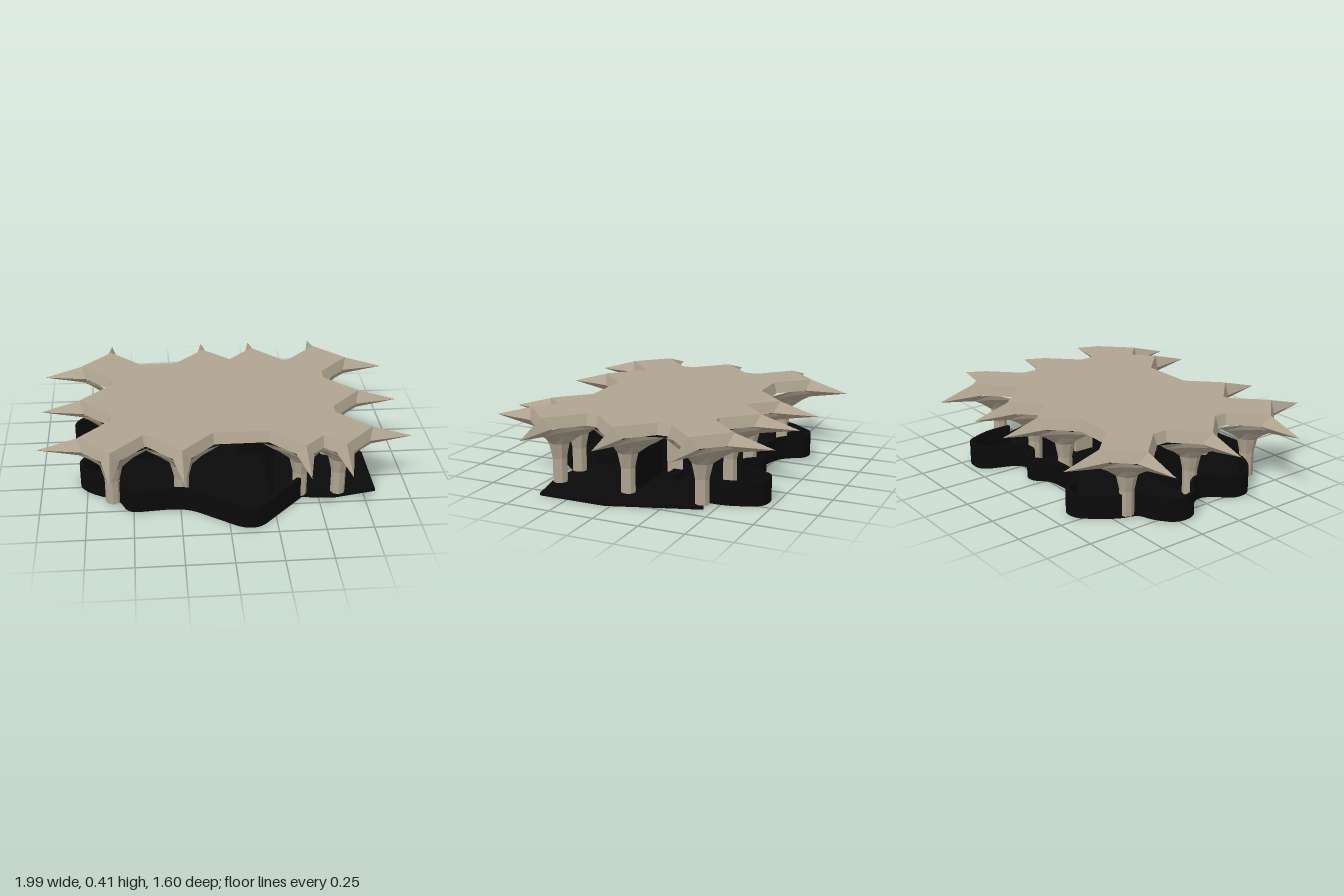
import * as THREE from 'three';

const stone = new THREE.MeshStandardMaterial({ color: 0xb0a490, flatShading: true });
const dark = new THREE.MeshStandardMaterial({ color: 0x0a0a0a, flatShading: true });

// Skin a list of closed rings of [x, y, z] points
function loft(rings) {
  const n = rings[0].length, pos = rings.flat(2), index = [];
  for (let r = 0; r < rings.length - 1; r++) {
    for (let i = 0; i < n; i++) {
      const a = r * n + i, b = r * n + (i + 1) % n;
      index.push(a, a + n, b, b, a + n, b + n);
    }
  }
  const g = new THREE.BufferGeometry();
  g.setAttribute('position', new THREE.Float32BufferAttribute(pos, 3));
  g.setIndex(index);
  g.computeVertexNormals();
  return g;
}

function add(parent, name, geometry, material) {
  const mesh = new THREE.Mesh(geometry, material);
  mesh.name = name;
  parent.add(mesh);
  return mesh;
}

const toShape = (pts, s = 1) => new THREE.Shape(pts.map(([x, z]) => new THREE.Vector2(x, z * s)));

// Flat plan outline (x, z) raised between two heights
function slab(pts, y0, y1) {
  return new THREE.ExtrudeGeometry(toShape(pts), { depth: y1 - y0, bevelEnabled: false })
    .rotateX(Math.PI / 2).translate(0, y1, 0);
}

// Move a plan outline sideways by d (positive is outwards)
function offset(pts, d, closed) {
  const n = pts.length;
  const normal = (a, b) => {
    const dx = b[0] - a[0], dz = b[1] - a[1], l = Math.hypot(dx, dz) || 1;
    return [-dz / l, dx / l];
  };
  return pts.map((p, i) => {
    const prev = pts[(i + n - 1) % n], next = pts[(i + 1) % n];
    let n1 = normal(prev, p), n2 = normal(p, next);
    if (!closed && i === 0) n1 = n2;
    if (!closed && i === n - 1) n2 = n1;
    const k = d / Math.max(0.5, 1 + n1[0] * n2[0] + n1[1] * n2[1]);
    return [p[0] + k * (n1[0] + n2[0]), p[1] + k * (n1[1] + n2[1])];
  });
}

// Round the corners of an open path
function rounded(pts) {
  const out = [pts[0]];
  for (let i = 1; i < pts.length - 1; i++) {
    const [a, p, b] = [pts[i - 1], pts[i], pts[i + 1]].map(v => new THREE.Vector2(...v));
    const toward = q => p.clone().lerp(q, Math.min(0.48, 0.06 / p.distanceTo(q)));
    const bend = new THREE.QuadraticBezierCurve(toward(a), p, toward(b));
    bend.getPoints(5).forEach(v => out.push([v.x, v.y]));
  }
  out.push(pts[pts.length - 1]);
  return out;
}

// Eight-sided column flaring into a diamond-shaped capital
function columnGeometry() {
  const profile = [ // axis radius, diagonal radius, axis height, diagonal height
    [0.04, 0.04, 0.012, 0.012], [0.04, 0.04, 0.15, 0.15], [0.06, 0.058, 0.235, 0.235],
    [0.12, 0.095, 0.28, 0.29], [0.165, 0.12, 0.305, 0.32], [0.21, 0.135, 0.335, 0.355],
  ];
  return loft(profile.map(([ra, rd, ya, yd]) => Array.from({ length: 8 }, (_, i) => {
    const t = i * Math.PI / 4, r = i % 2 ? rd : ra;
    return [r * Math.cos(t), i % 2 ? yd : ya, r * Math.sin(t)];
  })));
}

// Four-sided spike pointing along +x
function spikeGeometry() {
  const base = [[0.14, 0.35, 0.05], [0.168, 0.409, 0], [0.14, 0.35, -0.05], [0.16, 0.304, 0]];
  return loft([base, base.map(() => [0.387, 0.345, 0])]);
}

// Upright wall with pointed openings given as [start, end, sill]
function wallGeometry(from, to, openings) {
  const shape = toShape([[from, 0.01], [to, 0.01], [to, 0.355], [from, 0.355]]);
  for (const [a, b, sill] of openings) {
    shape.holes.push(toShape([[a, sill], [a, 0.215], [(a + b) / 2, 0.26], [b, 0.215], [b, sill]]));
  }
  return new THREE.ExtrudeGeometry(shape, { depth: 0.02, bevelEnabled: false }).translate(0, 0, -0.01);
}

export function createModel() {
  const model = new THREE.Group();
  model.name = 'pavilion';

  // Roof with sloping rim
  const outline = [
    [0.61, -0.59], [0.44, -0.42], [0.4, -0.42], [0.235, -0.59], [0.09, -0.45], [-0.06, -0.59],
    [-0.23, -0.42], [-0.44, -0.42], [-0.61, -0.59], [-0.78, -0.42], [-0.61, -0.25], [-0.61, -0.17],
    [-0.78, 0], [-0.61, 0.17], [-0.61, 0.24], [-0.78, 0.41], [-0.61, 0.58], [-0.44, 0.41],
    [-0.41, 0.41], [-0.24, 0.58], [-0.07, 0.41], [0.23, 0.41], [0.4, 0.58], [0.505, 0.48],
    [0.61, 0.58], [0.78, 0.41], [0.61, 0.24], [0.61, 0.17], [0.78, 0], [0.61, -0.17],
    [0.61, -0.25], [0.78, -0.42],
  ];
  const rim = offset(outline, 0.02, true);
  const ring = (pts, y) => pts.map(([x, z]) => [x, y, z]).reverse();
  const roof = new THREE.Group();
  roof.name = 'roof';
  model.add(roof);
  add(roof, 'roofTop', new THREE.ShapeGeometry(toShape(outline, -1)).rotateX(-Math.PI / 2).translate(0, 0.41, 0), stone);
  add(roof, 'roofRim', loft([ring(rim, 0.35), ring(outline, 0.41)]), stone);
  add(roof, 'ceiling', new THREE.ShapeGeometry(toShape(rim)).rotateX(Math.PI / 2).translate(0, 0.35, 0), stone);

  // Columns, each with spikes on its outer sides
  const E = 0, N = Math.PI / 2, W = Math.PI, S = -Math.PI / 2;
  const columns = [
    [-0.61, -0.42, N, W], [-0.06, -0.42, N], [0.235, -0.42, N], [0.61, -0.42, N, E],
    [-0.61, 0, W], [0.61, 0, E],
    [-0.61, 0.41, S, W], [-0.24, 0.41, S], [0.4, 0.41, S], [0.61, 0.41, S, E],
  ];
  const columnShape = columnGeometry(), spikeShape = spikeGeometry();
  for (const [x, z, ...turns] of columns) {
    const g = new THREE.Group();
    g.name = 'spikedColumn';
    g.position.set(x, 0, z);
    add(g, 'column', columnShape, stone);
    for (const t of turns) add(g, 'spike', spikeShape, stone).rotation.y = t;
    model.add(g);
  }

  // Base: floor plate and a wavy parapet open towards +x
  const edge = rounded([
    [0.56, -0.4], [0.56, -0.54], [0.49, -0.715], [0.35, -0.715], [0.27, -0.5], [0.16, -0.48],
    [0.12, -0.565], [0.04, -0.565], [-0.02, -0.49], [-0.18, -0.48], [-0.31, -0.53], [-0.37, -0.65],
    [-0.48, -0.65], [-0.62, -0.47], [-0.64, -0.37], [-0.72, -0.35], [-0.83, -0.27], [-0.83, -0.15],
    [-0.72, -0.07], [-0.67, 0], [-0.7, 0.08], [-0.79, 0.16], [-0.79, 0.26], [-0.7, 0.34],
    [-0.58, 0.39], [-0.53, 0.52], [-0.28, 0.5], [-0.19, 0.52], [0.07, 0.705], [0.16, 0.705], [0.41, 0.44],
  ]);
  const base = new THREE.Group();
  base.name = 'base';
  model.add(base);
  const plate = [[0.58, 0.46], [0.82, 0.41], [0.82, 0.03], [0.66, -0.45]];
  add(base, 'floor', slab([...edge, ...plate], 0, 0.015), dark);
  add(base, 'parapet', slab([...edge, ...offset(edge, -0.02, false).reverse()], 0, 0.13), dark);

  // Inner walls and the pale screen behind one doorway
  const inner = new THREE.Group();
  inner.name = 'innerWalls';
  model.add(inner);
  add(inner, 'longWall', wallGeometry(-0.58, 0.58, [[-0.06, 0.1, 0.02]]), dark).position.z = -0.02;
  const cross = add(inner, 'crossWall', wallGeometry(-0.4, 0.4, [[-0.195, -0.09, 0.02], [0.05, 0.155, 0.02]]), dark);
  cross.rotation.y = Math.PI / 2;
  cross.position.x = 0.25;
  add(inner, 'screen', new THREE.BoxGeometry(0.02, 0.27, 0.12), stone).position.set(0.22, 0.15, -0.1);
  add(inner, 'step', new THREE.BoxGeometry(0.1, 0.04, 0.06), dark).position.set(0.31, 0.03, -0.13);
  return model;
}
